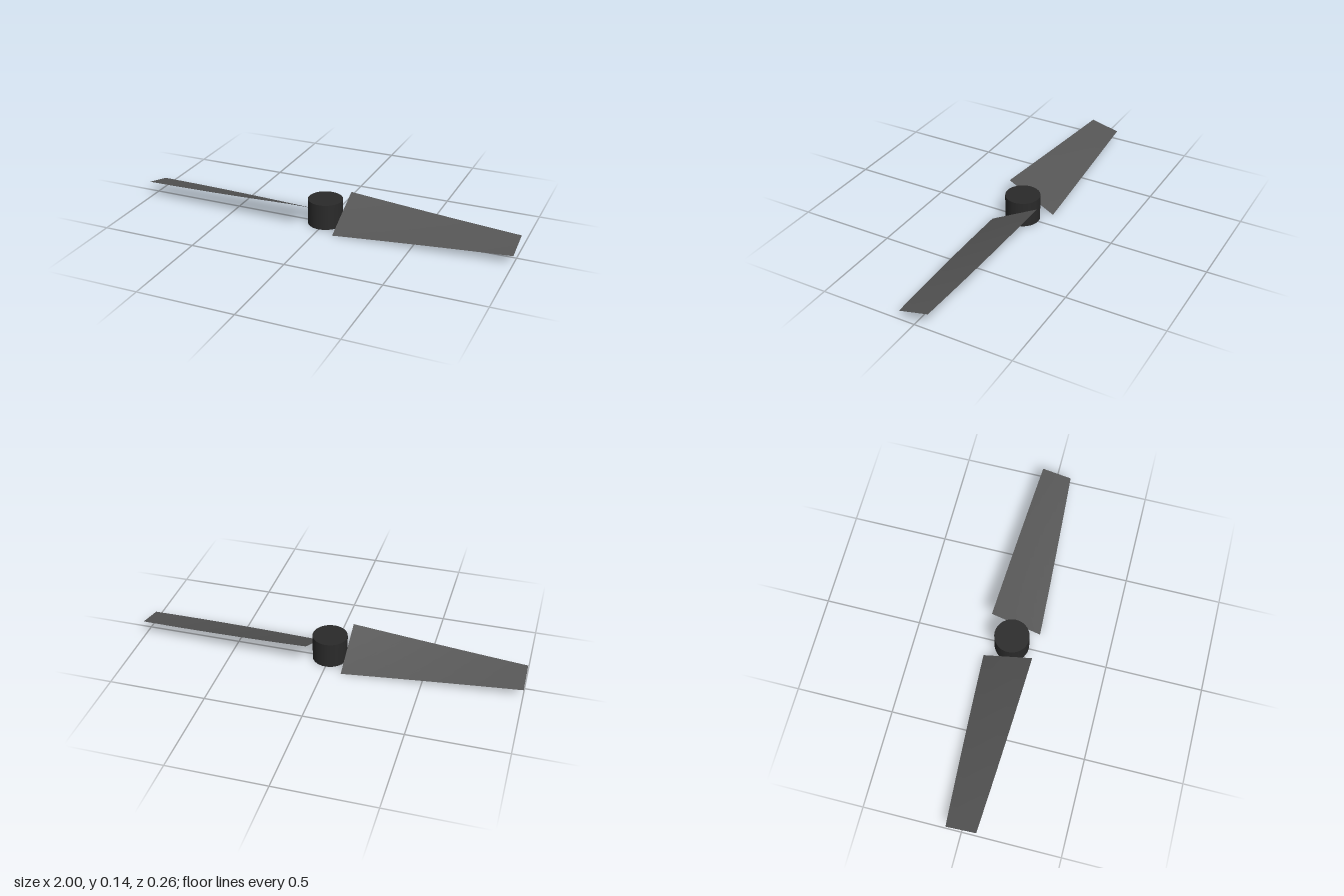
import * as THREE from 'three';

const HUB_RADIUS = 0.09;
const HUB_HEIGHT = 0.135;
const MID_Y = HUB_HEIGHT / 2;

// Thin blade along +x whose chord and pitch both fall from root to tip
function bladeGeometry() {
  const root = { x: 0.091, halfChord: 0.145, pitch: 0.485 };
  const tip = { x: 1, halfChord: 0.08, pitch: 0.243 };
  const geometry = new THREE.PlaneGeometry(1, 2, 12, 4).rotateX(-Math.PI / 2);
  const pos = geometry.attributes.position;
  for (let i = 0; i < pos.count; i++) {
    const t = pos.getX(i) + 0.5;
    const chord = pos.getZ(i) * THREE.MathUtils.lerp(root.halfChord, tip.halfChord, t);
    const pitch = THREE.MathUtils.lerp(root.pitch, tip.pitch, t);
    pos.setXYZ(
      i,
      THREE.MathUtils.lerp(root.x, tip.x, t),
      -chord * Math.sin(pitch),
      chord * Math.cos(pitch)
    );
  }
  geometry.computeVertexNormals();
  return geometry;
}

export function createModel() {
  const hubMaterial = new THREE.MeshStandardMaterial({ color: 0x2a2a2a });
  hubMaterial.name = 'hub charcoal';
  const bladeMaterial = new THREE.MeshStandardMaterial({ color: 0x555555, side: THREE.DoubleSide });
  bladeMaterial.name = 'blade grey';

  const propeller = new THREE.Group();
  propeller.name = 'propeller';

  // Central hub
  const hub = new THREE.Mesh(
    new THREE.CylinderGeometry(HUB_RADIUS, HUB_RADIUS, HUB_HEIGHT, 32),
    hubMaterial
  );
  hub.name = 'hub';
  hub.position.y = MID_Y;
  propeller.add(hub);

  // Two blades, half a turn apart
  const geometry = bladeGeometry();
  ['leftBlade', 'rightBlade'].forEach((name, i) => {
    const blade = new THREE.Mesh(geometry, bladeMaterial);
    blade.name = name;
    blade.position.y = MID_Y;
    blade.rotation.y = i * Math.PI;
    propeller.add(blade);
  });

  return propeller;
}
